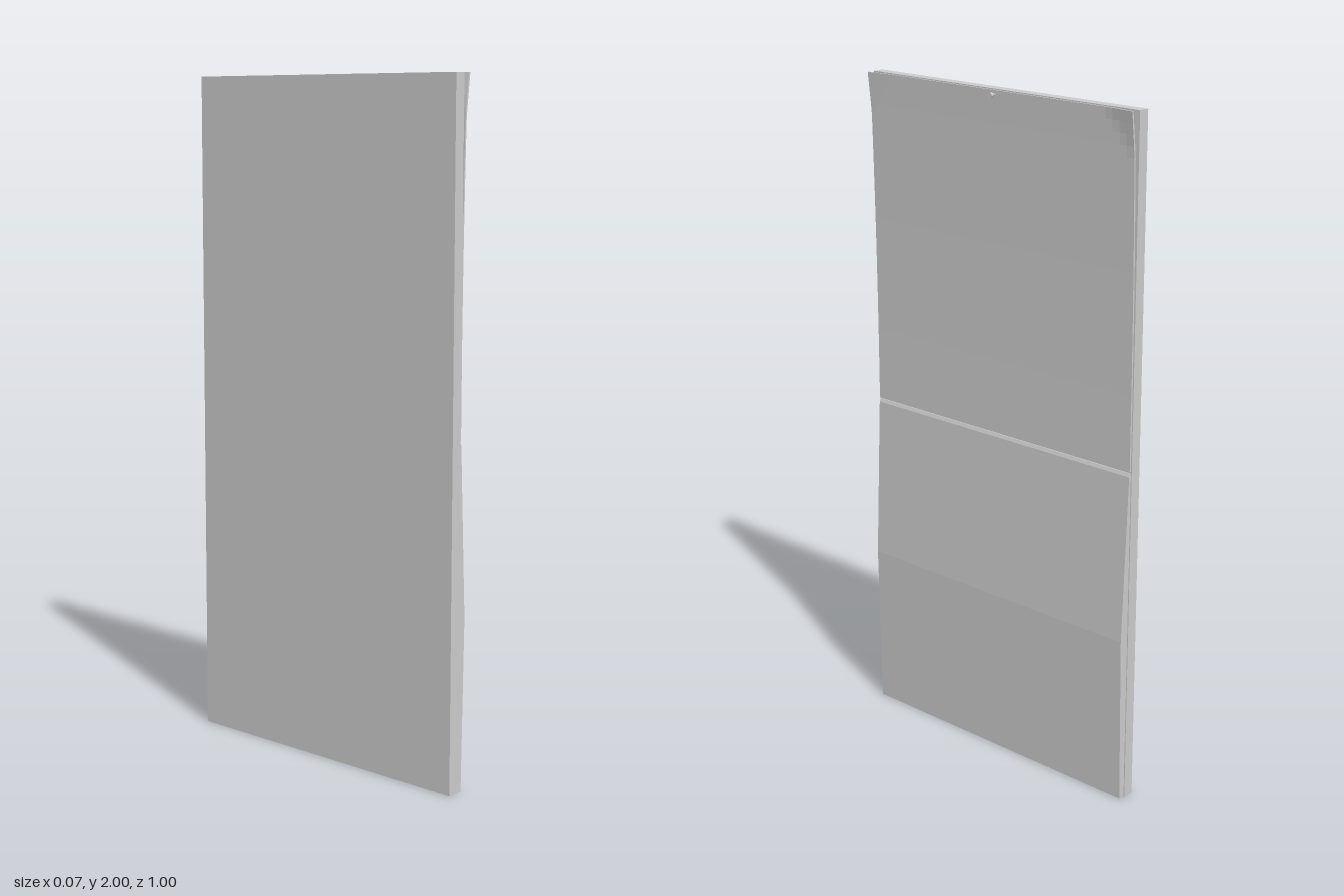
import * as THREE from 'three';

const material = new THREE.MeshStandardMaterial({ color: 0xcccccc, flatShading: true });

function add(group, name, geometry, x = 0, y = 0, z = 0) {
  const mesh = new THREE.Mesh(geometry, material);
  mesh.name = name;
  mesh.position.set(x, y, z);
  group.add(mesh);
  return mesh;
}

// Front-to-back lift of the hanging upper sheet, with its top corners curling out
function sheetLift(y, z) {
  const t = Math.max(0, (y - 1.14) / 0.86);
  const corner = (Math.abs(z) - 0.4) / 0.1 + (y - 1.88) / 0.12 - 1;
  return 0.013 * t * t + 0.01 * Math.max(0, corner);
}

export function createModel() {
  const group = new THREE.Group();
  group.name = 'hangingPad';

  // Flat backing board
  add(group, 'backBoard', new THREE.BoxGeometry(0.033, 2, 1), -0.0195, 1, 0);

  // Lower pad: bulging side profile, extruded across the width
  const profile = new THREE.Shape([
    [-0.003, 0], [0.016, 0], [0.025, 0.5], [0.004, 0.99], [0, 1.0], [-0.003, 1.0],
  ].map(([x, y]) => new THREE.Vector2(x, y)));
  const pad = new THREE.ExtrudeGeometry(profile, { depth: 0.994, bevelEnabled: false });
  add(group, 'lowerPad', pad, 0, 0, -0.497);

  // Upper sheet: thin box bent away from the board towards the top
  const sheet = new THREE.BoxGeometry(0.005, 0.995, 0.994, 1, 32, 40);
  sheet.translate(0, 1.5025, 0);
  const p = sheet.attributes.position;
  for (let i = 0; i < p.count; i++) {
    p.setX(i, p.getX(i) + sheetLift(p.getY(i), p.getZ(i)));
  }
  sheet.computeVertexNormals();
  add(group, 'upperSheet', sheet);

  // Pin holding the sheet: thin shaft and wider head
  const pin = new THREE.Group();
  pin.name = 'pin';
  pin.position.y = 1.988;
  add(pin, 'pinShaft', new THREE.CylinderGeometry(0.003, 0.003, 0.034, 12).rotateZ(Math.PI / 2), 0.012);
  add(pin, 'pinHead', new THREE.CylinderGeometry(0.007, 0.007, 0.008, 16).rotateZ(Math.PI / 2), 0.031);
  group.add(pin);

  return group;
}
